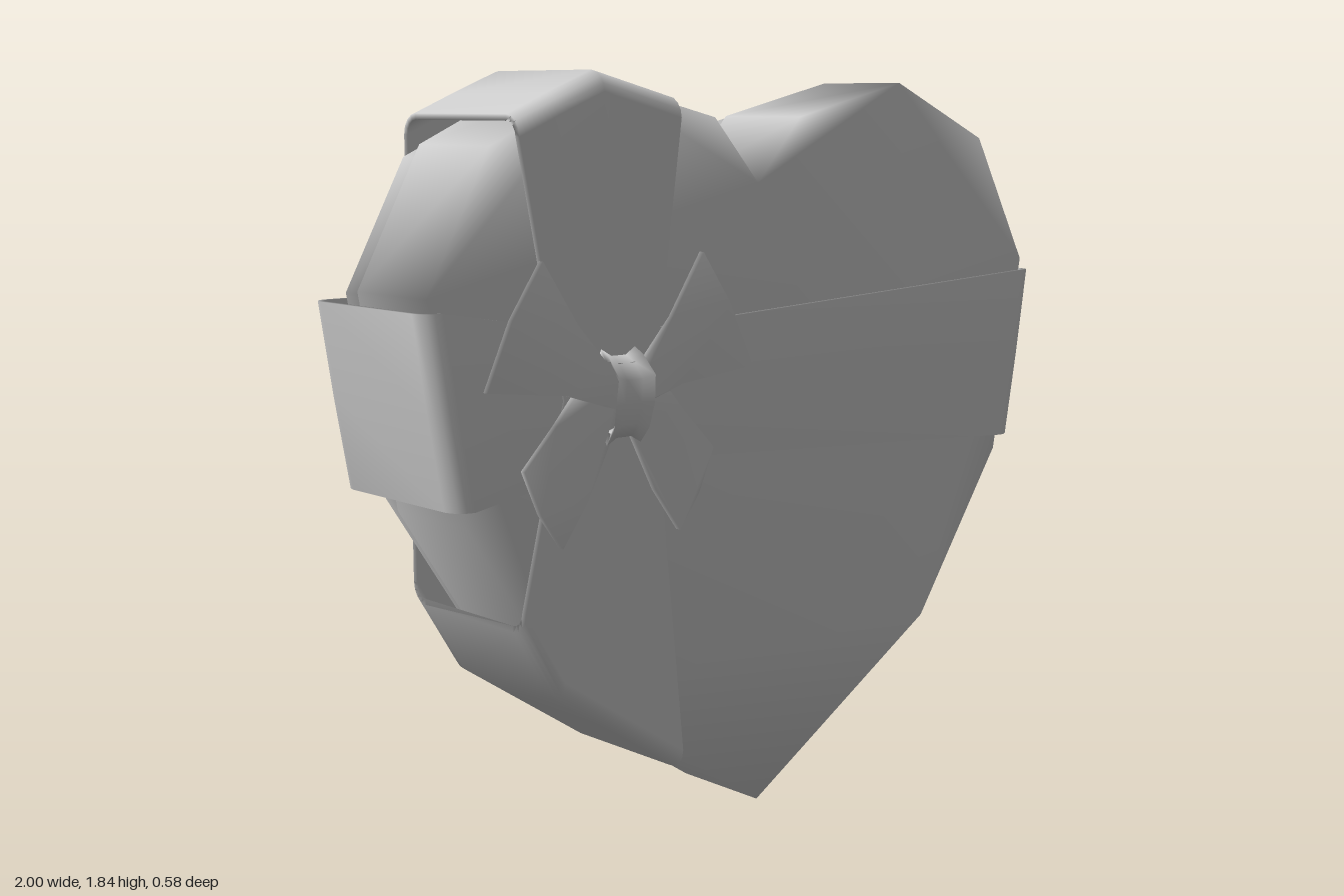
import * as THREE from 'three';
import { mergeVertices } from 'three/addons/utils/BufferGeometryUtils.js';

const KNOT_X = -0.49, KNOT_Y = 1.09;
const material = new THREE.MeshStandardMaterial({ color: 0xcccccc });

function addMesh(parent, name, geometry) {
  const mesh = new THREE.Mesh(geometry, material);
  mesh.name = name;
  parent.add(mesh);
  return mesh;
}

// Flat slab from an outline, with normals smoothed over its edges
function slab(points, z0, z1) {
  const shape = new THREE.Shape(points.map(([x, y]) => new THREE.Vector2(x, y)));
  let geo = new THREE.ExtrudeGeometry(shape, { depth: z1 - z0, bevelEnabled: false });
  geo.translate(0, 0, z0);
  geo.deleteAttribute('normal');
  geo.deleteAttribute('uv');
  geo = mergeVertices(geo, 1e-4);
  geo.computeVertexNormals();
  return geo;
}

// Closed surface from closed sections that are joined in a ring
function ringSurface(sections) {
  const n = sections.length, m = sections[0].length;
  const index = [];
  const at = (i, j) => (i % n) * m + (j % m);
  for (let i = 0; i < n; i++) {
    for (let j = 0; j < m; j++) {
      const a = at(i, j), b = at(i + 1, j), c = at(i + 1, j + 1), d = at(i, j + 1);
      index.push(a, b, c, a, c, d);
    }
  }
  // Make the faces point outwards
  const flat = sections.flat();
  let volume = 0;
  for (let i = 0; i < index.length; i += 3) {
    const [a, b, c] = [0, 1, 2].map((k) => flat[index[i + k]]);
    volume += a.dot(b.clone().cross(c));
  }
  if (volume < 0) index.reverse();
  const geo = new THREE.BufferGeometry();
  geo.setAttribute('position', new THREE.Float32BufferAttribute(flat.flatMap((v) => v.toArray()), 3));
  geo.setIndex(index);
  geo.computeVertexNormals();
  return geo;
}

// Rounded rectangle in (a, z); the point mid lies on its front side
function loop(a0, a1, z0, z1, r, mid, bulge) {
  const points = [];
  const corner = (a, z, start) => {
    for (let k = 0; k <= 4; k++) {
      const t = start + (k / 4) * Math.PI / 2;
      points.push({ a: a + r * Math.cos(t), z: z + r * Math.sin(t), pinch: false });
    }
  };
  corner(a0 + r, z0 + r, Math.PI);
  corner(a1 - r, z0 + r, Math.PI * 1.5);
  corner(a1 - r, z1 - r, 0);
  points.push({ a: mid, z: z1 + bulge, pinch: true });
  corner(a0 + r, z1 - r, Math.PI / 2);
  return points;
}

// Ribbon around the box: columns run across its width as {w, a0, a1}
function ribbon(columns, o) {
  const t = o.thickness;
  const side = (inset) => columns.map((c) => ({
    w: c.w,
    pts: loop(c.a0 + inset, c.a1 - inset, o.z0 + inset, o.z1 - inset, o.radius - inset, o.mid, o.bulge),
  }));
  const strip = [...side(0), ...side(t).reverse()];
  const sections = strip[0].pts.map((_, k) => strip.map(({ w, pts }) => {
    const p = pts[k];
    const across = p.pinch ? o.center + (w - o.center) * o.pinch : w;
    return o.vertical ? new THREE.Vector3(across, p.a, p.z) : new THREE.Vector3(p.a, across, p.z);
  }));
  return ringSurface(sections);
}

export function createModel() {
  const model = new THREE.Group();
  model.name = 'heartGiftBox';

  // Heart box: wide lid in front, smaller base behind
  const half = [[0.14, 1.73], [0.49, 1.815], [0.8, 1.67], [0.975, 1.34], [0.88, 0.82], [0.6, 0.39]];
  const heart = [[0, 1.57], ...half, [0, 0], ...half.map(([x, y]) => [-x, y]).reverse()];
  addMesh(model, 'lid', slab(heart, -0.12, 0.16));
  addMesh(model, 'base', slab(heart.map(([x, y]) => [x * 0.95, y * 0.945 + 0.06]), -0.25, -0.119));

  // Ribbons, narrowed where they meet under the bow
  addMesh(model, 'horizontalRibbon', ribbon(
    [{ w: 0.86, a0: -0.925, a1: 0.925 }, { w: 1.085, a0: -0.965, a1: 0.965 }, { w: 1.31, a0: -1, a1: 1 }],
    { vertical: false, z0: -0.29, z1: 0.19, radius: 0.05, thickness: 0.015,
      mid: KNOT_X, bulge: 0.005, center: 1.08, pinch: 0.66 }));
  addMesh(model, 'verticalRibbon', ribbon(
    [{ w: -0.74, a0: 0.555, a1: 1.74 }, { w: -0.63, a0: 0.375, a1: 1.787 },
      { w: -0.5, a0: 0.29, a1: 1.84 }, { w: -0.27, a0: 0.14, a1: 1.78 }],
    { vertical: true, z0: -0.275, z1: 0.19, radius: 0.05, thickness: 0.015,
      mid: KNOT_Y, bulge: 0.01, center: KNOT_X, pinch: 0.56 }));

  // Bow, in coordinates around the knot
  const bow = new THREE.Group();
  bow.name = 'bow';
  bow.position.set(KNOT_X, KNOT_Y, 0);
  model.add(bow);
  const wing = [[0, -0.03], [0.06, -0.015], [0.17, 0.02], [0.39, 0.045], [0.32, 0.2], [0.235, 0.327],
    [0.14, 0.18], [0.06, 0.09], [0, 0.08]];
  const tail = [[0, -0.03], [0.05, -0.13], [0.1, -0.23], [0.175, -0.335], [0.235, -0.25], [0.28, -0.145],
    [0.19, -0.05], [0.13, 0.02], [0, 0.04]];
  for (const s of [1, -1]) {
    const prefix = s > 0 ? 'left' : 'right';
    const mirror = (pts) => pts.map(([x, y]) => [x * s, y]);
    addMesh(bow, prefix + 'Wing', slab(mirror(wing), 0.236, 0.252));
    addMesh(bow, prefix + 'Tail', slab(mirror(tail), 0.219, 0.235));
  }

  // Knot: a band wrapped round the bow, pinched along its middle
  const profile = [[0.2, 0.06], [0.22, 0.115], [0.25, 0.1], [0.292, 0.055], [0.285, -0.01], [0.27, -0.07],
    [0.24, -0.108], [0.21, -0.06]];
  const knotColumns = [[-0.058, 1], [-0.025, 0.85], [0.025, 0.85], [0.058, 1],
    [0.045, 0.75], [0, 0.65], [-0.045, 0.75]];
  const flare = (y) => 1 - 0.15 * Math.abs(y) / 0.115;
  addMesh(bow, 'knot', ringSurface(profile.map(([z, y]) => knotColumns.map(
    ([x, k]) => new THREE.Vector3(x * flare(y), y * k, 0.24 + (z - 0.24) * k)))));

  return model;
}
